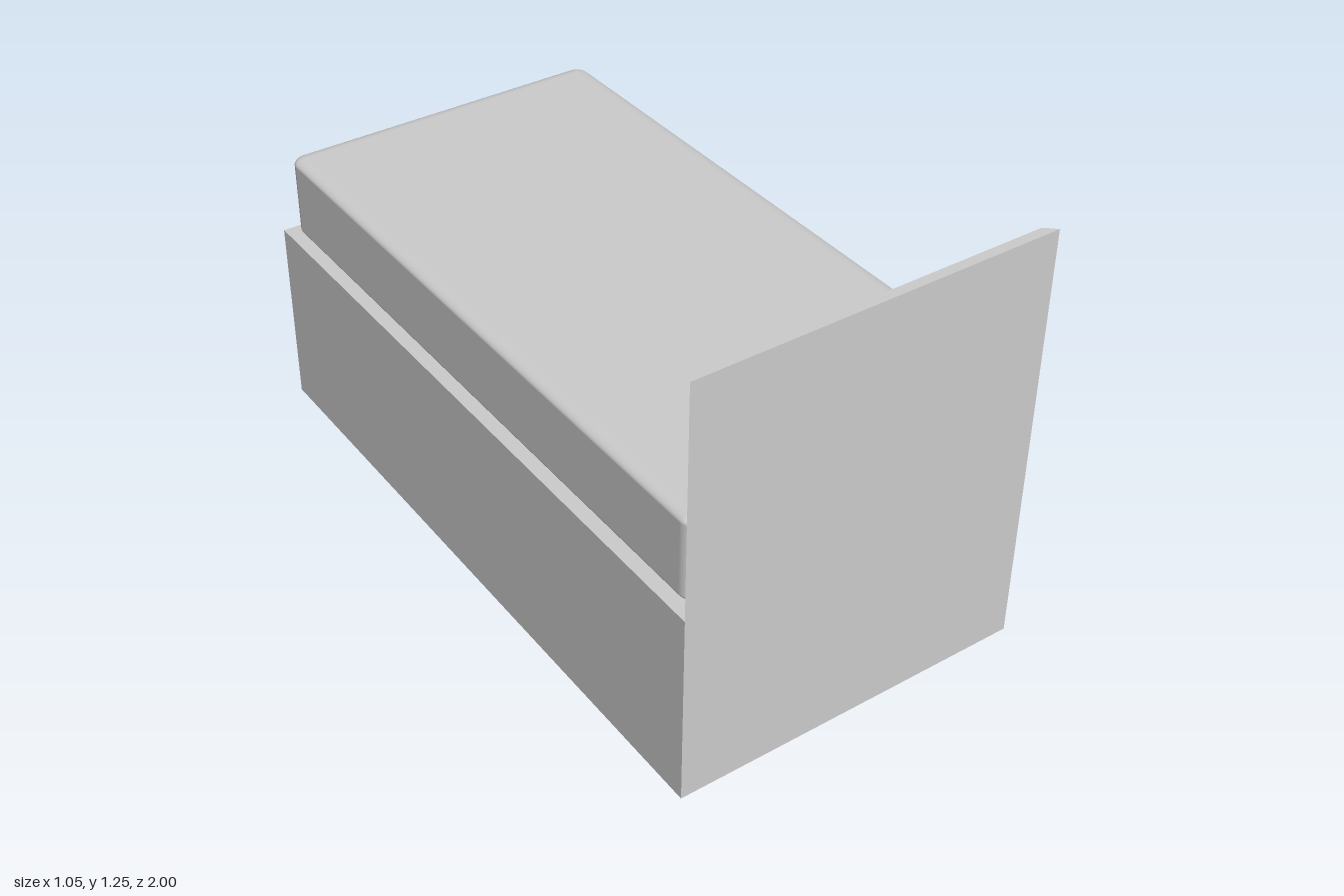
import * as THREE from 'three';
import { RoundedBoxGeometry } from 'three/addons/geometries/RoundedBoxGeometry.js';

export function createModel() {
  const group = new THREE.Group();
  const grey = new THREE.MeshStandardMaterial({ color: 0xcccccc });
  grey.name = 'light grey';

  const add = (name, geometry, x, y, z) => {
    const mesh = new THREE.Mesh(geometry, grey);
    mesh.name = name;
    mesh.position.set(x, y, z);
    group.add(mesh);
    return mesh;
  };

  const halfWidth = 0.525, baseTop = 0.577, headTop = 1.25;

  // Solid bed base
  add('base', new THREE.BoxGeometry(halfWidth * 2, baseTop, 2), 0, baseTop / 2, 0);

  // Mattress: rounded in plan, with flatter rounding on the top and bottom edges
  const height = 0.252;
  const mattress = new RoundedBoxGeometry(0.99, height * 2, 1.95, 6, 0.042);
  mattress.scale(1, 0.5, 1);
  add('mattress', mattress, 0, baseTop + height / 2, -0.002);

  // Headboard: thin upright panel whose side edges slant in towards the mattress
  const inset = 0.03, thickness = 0.028;
  const plan = new THREE.Shape([
    new THREE.Vector2(-halfWidth, -1),
    new THREE.Vector2(halfWidth, -1),
    new THREE.Vector2(halfWidth - inset, -1 + thickness),
    new THREE.Vector2(-halfWidth + inset, -1 + thickness),
  ]);
  const headboard = new THREE.ExtrudeGeometry(plan, { depth: headTop - baseTop, bevelEnabled: false });
  headboard.rotateX(-Math.PI / 2);
  add('headboard', headboard, 0, baseTop, 0);

  return group;
}
